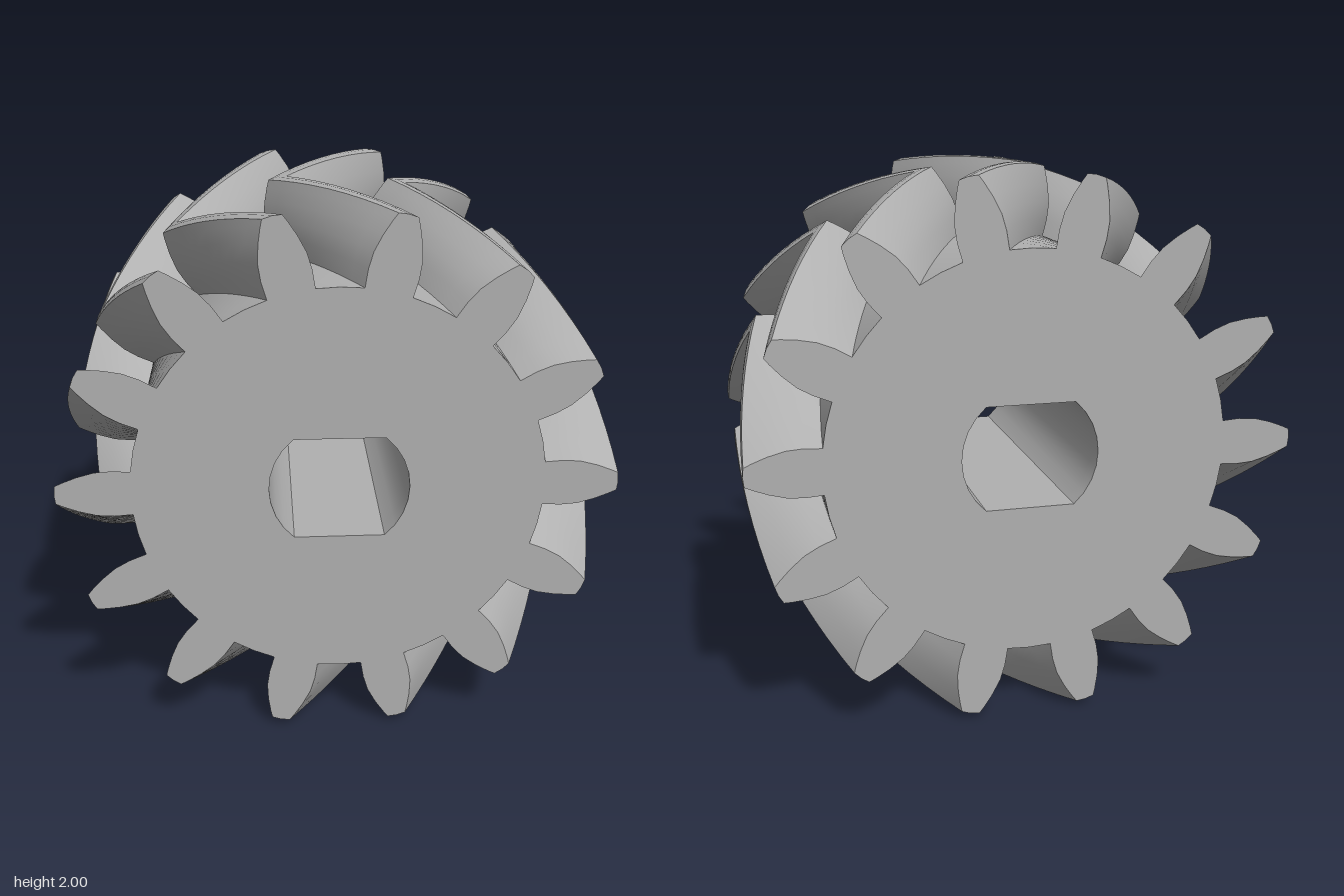
import * as THREE from 'three';
import { toCreasedNormals } from 'three/addons/utils/BufferGeometryUtils.js';

const TEETH = 14;
const HALF_WIDTH = 0.625;
const TWIST = THREE.MathUtils.degToRad(24);
const BORE_RADIUS = 0.25;
const BORE_FLAT = 0.19;

// one tooth flank: [radius, half angle in radians] from root to tip
const FLANK = [[0.735, 0.113], [0.8, 0.109], [0.86, 0.0965], [0.92, 0.072], [0.97, 0.048], [0.997, 0.034]];

const polar = (r, a) => new THREE.Vector2(r * Math.cos(a), r * Math.sin(a));

// gear outline with a double-flat bore
function gearShape() {
  const pitch = (2 * Math.PI) / TEETH;
  const points = [];
  for (let i = 0; i < TEETH; i++) {
    const a = i * pitch;
    for (const [r, h] of FLANK) points.push(polar(r, a - h));
    points.push(polar(1, a));
    for (const [r, h] of [...FLANK].reverse()) points.push(polar(r, a + h));
    points.push(polar(0.735, a + pitch / 2));
  }
  const shape = new THREE.Shape(points);

  const corner = Math.asin(BORE_FLAT / BORE_RADIUS);
  const bore = [];
  for (const side of [0, Math.PI]) {
    for (let i = 0; i <= 8; i++) bore.push(polar(BORE_RADIUS, side - corner + (2 * corner * i) / 8));
  }
  shape.holes.push(new THREE.Path(bore));
  return shape;
}

export function createModel() {
  const group = new THREE.Group();
  group.name = 'herringboneGear';
  const metal = new THREE.MeshStandardMaterial({ color: 0xb0b0b0 });
  metal.name = 'grey';

  const geometry = new THREE.ExtrudeGeometry(gearShape(), {
    depth: 2 * HALF_WIDTH, steps: 16, bevelEnabled: false,
  });
  geometry.translate(0, 0, -HALF_WIDTH);

  // twist the teeth towards the middle plane, leaving the bore straight
  const pos = geometry.attributes.position;
  for (let i = 0; i < pos.count; i++) {
    const x = pos.getX(i), y = pos.getY(i);
    if (Math.hypot(x, y) < 0.5) continue;
    const a = TWIST * (1 - Math.abs(pos.getZ(i)) / HALF_WIDTH);
    const c = Math.cos(a), s = Math.sin(a);
    pos.setXY(i, x * c - y * s, x * s + y * c);
  }

  const gear = new THREE.Mesh(toCreasedNormals(geometry, THREE.MathUtils.degToRad(32)), metal);
  gear.name = 'gearBody';
  gear.position.y = 1;
  group.add(gear);
  return group;
}
